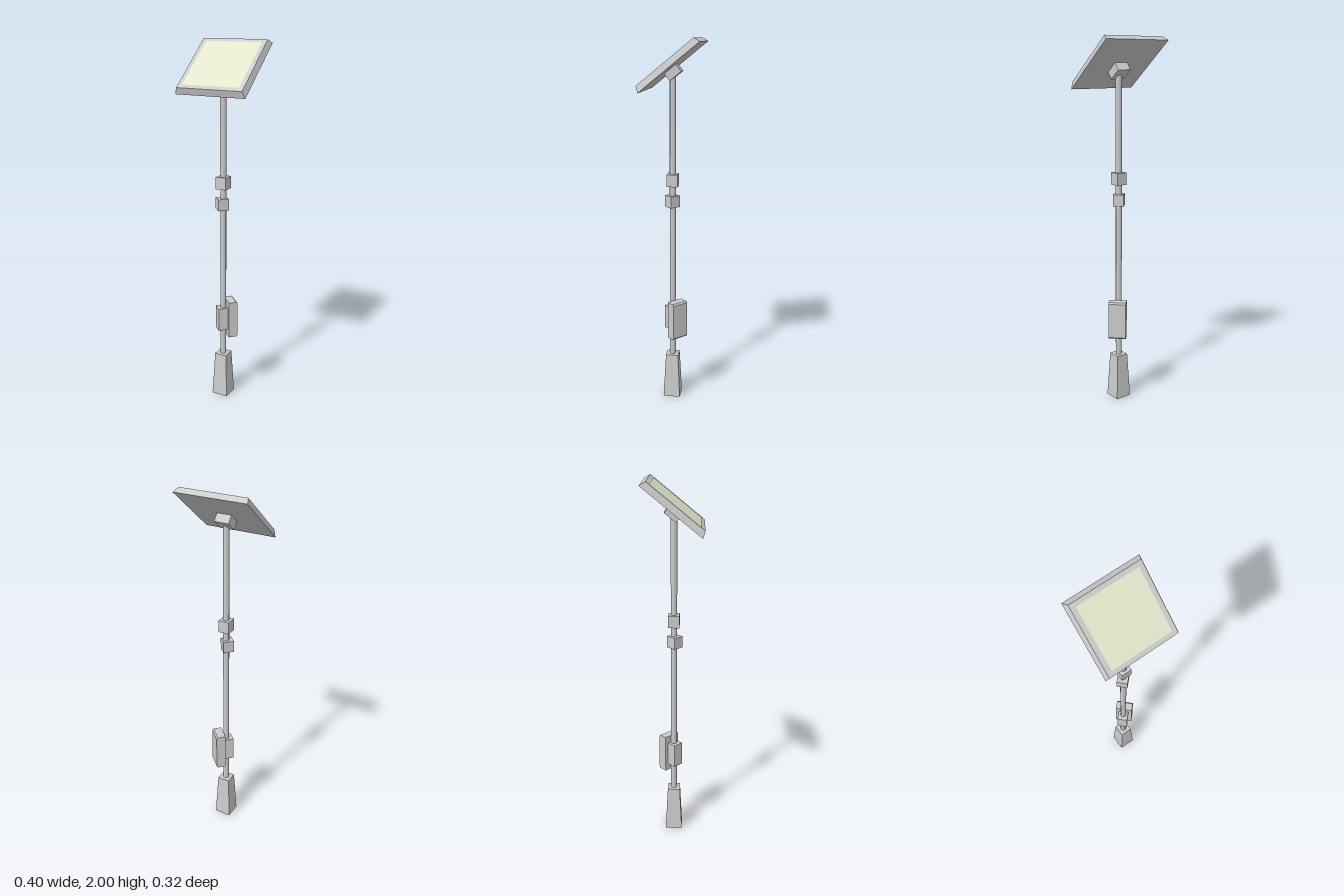
import * as THREE from 'three';

const grey = new THREE.MeshStandardMaterial({ color: 0xcccccc, flatShading: true });
const smoothGrey = new THREE.MeshStandardMaterial({ color: 0xcccccc });
const paleGreen = new THREE.MeshStandardMaterial({ color: 0xe2e8cc });

function addPart(parent, name, geometry, material, x = 0, y = 0, z = 0, turn = 0) {
  const mesh = new THREE.Mesh(geometry, material);
  mesh.name = name;
  mesh.position.set(x, y, z);
  mesh.rotation.y = turn;
  parent.add(mesh);
  return mesh;
}

// Box standing on y = 0 whose top is smaller than its bottom
function taperedBox(width, height, depth, topWidth, topDepth) {
  const geometry = new THREE.BoxGeometry(width, height, depth).translate(0, height / 2, 0);
  const p = geometry.attributes.position;
  for (let i = 0; i < p.count; i++) {
    if (p.getY(i) > height / 2) {
      p.setX(i, Math.sign(p.getX(i)) * topWidth / 2);
      p.setZ(i, Math.sign(p.getZ(i)) * topDepth / 2);
    }
  }
  geometry.computeVertexNormals();
  return geometry;
}

export function createModel() {
  const model = new THREE.Group();
  model.name = 'solarPole';

  // Tapered foot and pole
  addPart(model, 'base', taperedBox(0.093, 0.255, 0.093, 0.069, 0.069), grey);
  addPart(model, 'pole', new THREE.CylinderGeometry(0.017, 0.017, 1.57, 8), smoothGrey, 0, 1.035, 0);

  // Small boxes clamped on the pole, two of them turned to the diagonal
  addPart(model, 'upperBox', new THREE.BoxGeometry(0.06, 0.066, 0.06), grey, 0, 1.266, 0);
  addPart(model, 'middleBox', new THREE.BoxGeometry(0.058, 0.063, 0.058), grey, -0.005, 1.149, 0.004, Math.PI / 4);
  addPart(model, 'lowerBox', new THREE.BoxGeometry(0.058, 0.133, 0.058), grey, -0.005, 0.476, 0.004, Math.PI / 4);

  // Cabinet on the diagonal behind the pole, with chamfered outer edges
  const inner = 0.018, outer = 0.07, low = 0.37, high = 0.582, cut = 0.008, width = 0.096;
  const profile = new THREE.Shape([
    [inner, low], [outer - cut, low], [outer, low + cut],
    [outer, high - cut], [outer - cut, high], [inner, high],
  ].map(([x, y]) => new THREE.Vector2(x, y)));
  const cabinet = new THREE.ExtrudeGeometry(profile, { depth: width, bevelEnabled: false });
  cabinet.translate(0, 0, -width / 2);
  addPart(model, 'cabinet', cabinet, grey, 0, 0, 0, Math.PI / 4);

  // Tilted head: frame, glass and the block that holds it
  const head = new THREE.Group();
  head.name = 'panelHead';
  head.position.set(0, 1.859, -0.0075);
  head.rotation.x = 0.678;
  model.add(head);
  addPart(head, 'panelFrame', taperedBox(0.396, 0.0345, 0.393, 0.37, 0.367), grey);
  addPart(head, 'panelGlass', new THREE.PlaneGeometry(0.32, 0.321).rotateX(-Math.PI / 2), paleGreen, 0, 0.0355, 0);
  addPart(head, 'panelMount', new THREE.BoxGeometry(0.08, 0.046, 0.077), grey, 0, -0.022, 0.021);

  return model;
}
